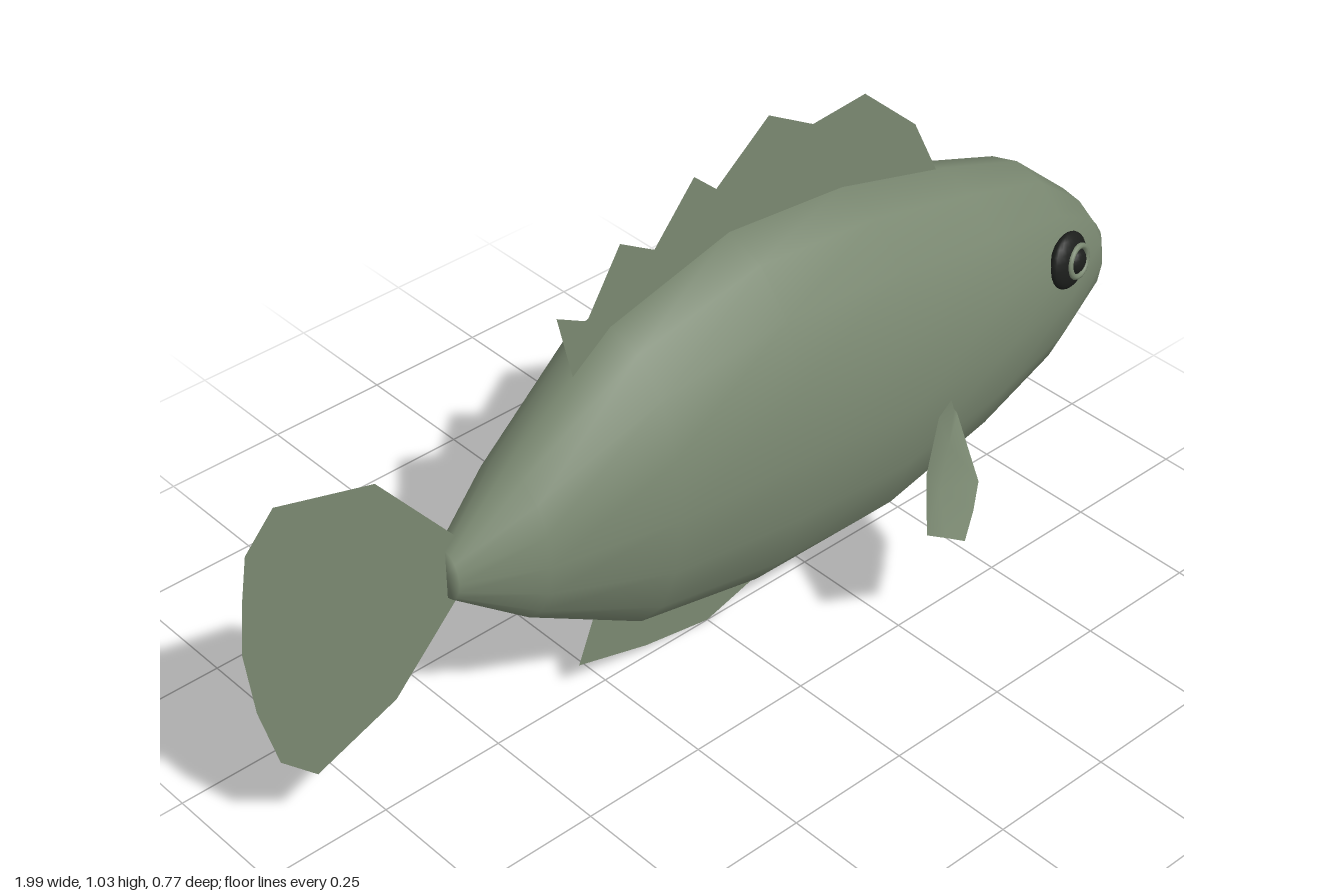
import * as THREE from 'three';

const skin = new THREE.MeshStandardMaterial({ name: 'skin', color: 0x7a8871 });
const finSkin = new THREE.MeshStandardMaterial({ name: 'finSkin', color: 0x7a8871, side: THREE.DoubleSide });
const black = new THREE.MeshStandardMaterial({ name: 'black', color: 0x1c1e1c });

function add(parent, name, geometry, material) {
  const mesh = new THREE.Mesh(geometry, material);
  mesh.name = name;
  parent.add(mesh);
  return mesh;
}

function indexed(points, index) {
  const g = new THREE.BufferGeometry();
  g.setAttribute('position', new THREE.Float32BufferAttribute(points, 3));
  g.setIndex(index);
  g.computeVertexNormals();
  return g;
}

// Elliptical sections along x, open at the mouth and closed at the tail
function bodyGeometry() {
  const sections = [ // x, bottom, top, half width
    [-0.59, 0.44, 0.44, 0], [-0.59, 0.39, 0.49, 0.035], [-0.45, 0.28, 0.6, 0.105],
    [-0.22, 0.145, 0.77, 0.175], [0.05, 0.095, 0.84, 0.205], [0.32, 0.095, 0.815, 0.212],
    [0.58, 0.16, 0.745, 0.195], [0.78, 0.225, 0.675, 0.16], [0.92, 0.32, 0.555, 0.11],
    [0.98, 0.4, 0.477, 0.055], [0.983, 0.412, 0.475, 0.041],
  ];
  const n = 16, points = [], index = [];
  sections.forEach(([x, bottom, top, w], i) => {
    for (let j = 0; j < n; j++) {
      const a = (j / n) * Math.PI * 2;
      points.push(x, (top + bottom) / 2 + Math.cos(a) * (top - bottom) / 2, Math.sin(a) * w);
      if (i === sections.length - 1) continue;
      const p = i * n + j, q = i * n + (j + 1) % n;
      index.push(p, q, p + n, q, q + n, p + n);
    }
  });
  return indexed(points, index);
}

// Flat fin in the middle plane
function flatFin(parent, name, outline) {
  const shape = new THREE.Shape(outline.map(([x, y]) => new THREE.Vector2(x, y)));
  return add(parent, name, new THREE.ShapeGeometry(shape), finSkin);
}

// Cupped side fin: upper edge, inward-pressed middle and lower edge
function sideFinGeometry() {
  return indexed([
    0.425, 0.41, 0.195, 0.33, 0.443, 0.25, 0.21, 0.425, 0.337, 0.165, 0.345, 0.387,
    0.43, 0.385, 0.195, 0.36, 0.365, 0.25, 0.26, 0.36, 0.325, 0.215, 0.312, 0.387,
    0.44, 0.365, 0.195, 0.39, 0.297, 0.3, 0.33, 0.287, 0.345, 0.265, 0.278, 0.387,
  ], [0, 4].flatMap((r) => [0, 1, 2].flatMap((c) => {
    const p = r + c;
    return [p, p + 1, p + 4, p + 1, p + 5, p + 4];
  })));
}

function makeSide(name, sign) {
  const side = new THREE.Group();
  side.name = name;
  side.scale.z = sign;
  add(side, 'pectoralFin', sideFinGeometry(), finSkin);

  // Eye: dark bulge, pale iris ring and raised pupil
  const eye = new THREE.Group();
  eye.name = 'eye';
  eye.position.set(0.767, 0.535, 0.153);
  eye.rotation.set(-0.12, 0.2, 0);
  add(eye, 'eyeball', new THREE.SphereGeometry(0.056, 20, 12), black).scale.z = 0.4;
  const iris = add(eye, 'iris', new THREE.TorusGeometry(0.03, 0.006, 8, 20), skin);
  iris.position.set(0.006, 0, 0.019);
  const pupil = add(eye, 'pupil', new THREE.SphereGeometry(0.023, 16, 10), black);
  pupil.position.set(0.006, 0, 0.018);
  pupil.scale.z = 0.5;
  side.add(eye);
  return side;
}

export function createModel() {
  const fish = new THREE.Group();
  fish.name = 'fish';
  add(fish, 'body', bodyGeometry(), skin);

  flatFin(fish, 'tailFin', [
    [-0.55, 0.49], [-0.72, 0.7], [-0.915, 0.755], [-0.975, 0.69], [-0.99, 0.6], [-1, 0.5],
    [-0.985, 0.37], [-0.95, 0.24], [-0.88, 0.17], [-0.71, 0.235], [-0.55, 0.4],
  ]);
  flatFin(fish, 'dorsalFin', [
    [0.57, 0.73], [0.5, 0.87], [0.37, 0.985], [0.245, 0.975], [0.14, 1.035], [0.02, 0.94],
    [-0.03, 0.985], [-0.12, 0.88], [-0.195, 0.925], [-0.27, 0.805], [-0.335, 0.84],
    [-0.3, 0.69], [0, 0.78], [0.3, 0.78],
  ]);
  flatFin(fish, 'analFin', [
    [0.28, 0.12], [0.17, 0.055], [0, 0.005], [-0.15, 0.03], [-0.31, 0.075], [-0.26, 0.2], [0, 0.14],
  ]);

  // Dark lower lip
  const lip = add(fish, 'lowerLip', new THREE.TorusGeometry(0.042, 0.008, 8, 16, Math.PI), black);
  lip.position.set(0.983, 0.432, 0);
  lip.rotation.set(Math.PI, Math.PI / 2, 0);
  lip.scale.y = 0.45;

  fish.add(makeSide('leftFlank', 1), makeSide('rightFlank', -1));
  return fish;
}
